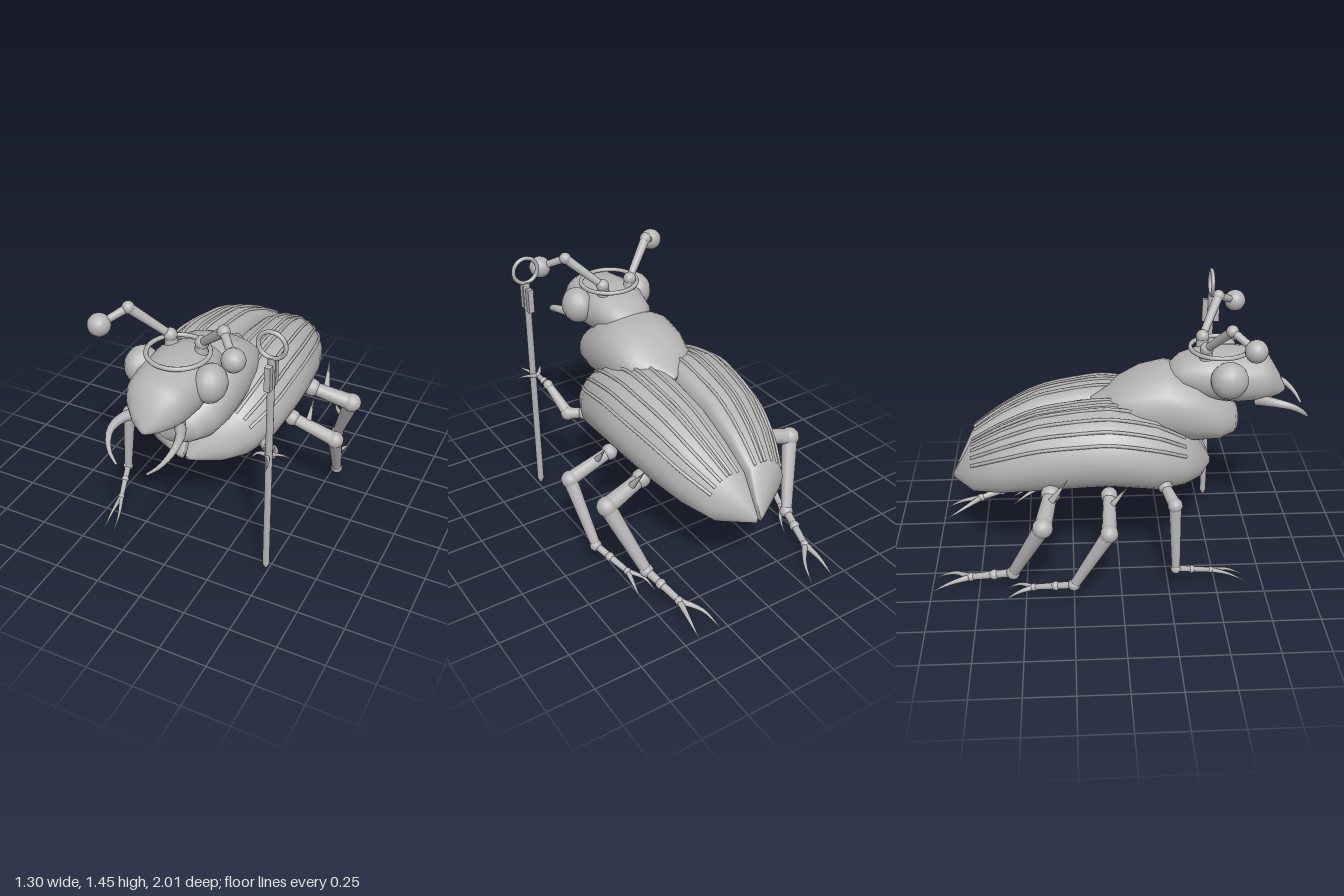
import * as THREE from 'three';

const shell = new THREE.MeshStandardMaterial({ color: 0xb4b4b4 });
shell.name = 'shell grey';
const V = (p) => new THREE.Vector3(...p);

function add(parent, name, geometry, pos = [0, 0, 0]) {
  const m = new THREE.Mesh(geometry, shell);
  m.name = name;
  m.position.set(...pos);
  parent.add(m);
  return m;
}

// Skin over closed loops (counter-clockwise seen from +z) running from back to front
function loft(loops) {
  const n = loops[0].length, pos = [], idx = [];
  loops.forEach((l) => l.forEach((p) => pos.push(...p)));
  for (let i = 0; i < loops.length - 1; i++) {
    for (let j = 0; j < n; j++) {
      const k = (j + 1) % n, a = i * n + j, b = i * n + k;
      idx.push(a, b, b + n, a, b + n, a + n);
    }
  }
  const last = (loops.length - 1) * n;
  for (let j = 1; j < n - 1; j++) {
    idx.push(0, j + 1, j, last, last + j, last + j + 1);
  }
  const g = new THREE.BufferGeometry();
  g.setAttribute('position', new THREE.Float32BufferAttribute(pos, 3));
  g.setIndex(idx);
  g.computeVertexNormals();
  return g;
}

// Rows of [z, half width, bottom, top]
const ovals = (rows, n = 24) => loft(rows.map(([z, w, b, t]) =>
  Array.from({ length: n }, (_, j) => {
    const a = (j / n) * Math.PI * 2;
    const f = (v) => Math.sign(v) * Math.abs(v) ** 0.9;
    return [w * f(Math.cos(a)), (b + t) / 2 + ((t - b) / 2) * f(Math.sin(a)), z];
  })));

function rod(parent, name, a, b, ra, rb = ra, sides = 12) {
  const p = V(a), q = V(b), d = q.clone().sub(p);
  const m = add(parent, name, new THREE.CylinderGeometry(rb, ra, d.length(), sides), p.clone().add(q).multiplyScalar(0.5).toArray());
  m.quaternion.setFromUnitVectors(new THREE.Vector3(0, 1, 0), d.normalize());
  return m;
}

const ball = (parent, name, p, r) => add(parent, name, new THREE.SphereGeometry(r, 14, 10), p);

// Curved tube narrowing from r0 to r1
function taper(parent, name, points, r0, r1, seg = 12, sides = 8) {
  const curve = new THREE.CatmullRomCurve3(points.map(V));
  const g = new THREE.TubeGeometry(curve, seg, 1, sides);
  const pos = g.attributes.position, v = new THREE.Vector3();
  for (let i = 0; i <= seg; i++) {
    const c = curve.getPointAt(i / seg), r = r0 + (r1 - r0) * (i / seg);
    for (let j = 0; j <= sides; j++) {
      const k = i * (sides + 1) + j;
      v.fromBufferAttribute(pos, k).sub(c).multiplyScalar(r).add(c);
      pos.setXYZ(k, v.x, v.y, v.z);
    }
  }
  return add(parent, name, g);
}

// Wing cover cross-section, and its stations [z, width, bottom, top]
const profile = new THREE.CatmullRomCurve3([
  [1, 0.45], [0.93, 0.7], [0.75, 0.9], [0.5, 0.99], [0.25, 1], [0.03, 0.93],
  [0, 0.5], [0.05, 0.08], [0.3, 0], [0.6, 0.03], [0.88, 0.18],
].map(([x, y]) => new THREE.Vector3(x, y, 0)), true);
const stations = [
  [-0.885, 0.01, 0.47, 0.5], [-0.77, 0.22, 0.45, 0.72], [-0.61, 0.3, 0.46, 0.82],
  [-0.42, 0.36, 0.49, 0.905], [-0.2, 0.395, 0.515, 0.945], [-0.05, 0.405, 0.525, 0.955],
  [0.19, 0.38, 0.49, 0.9], [0.34, 0.31, 0.495, 0.8], [0.43, 0.22, 0.515, 0.7], [0.5, 0.03, 0.53, 0.56],
];
function coverPoint([z, w, b, t], s) {
  const p = profile.getPoint(s);
  return [0.007 + w * p.x, b + (t - b) * p.y, z];
}

function wingCover(parent) {
  const n = 33;
  add(parent, 'wingCover', loft(stations.map((s) =>
    Array.from({ length: n }, (_, j) => coverPoint(s, j / n)))));
  for (const t of [0.1, 0.155, 0.215, 0.28, 0.315, 0.38]) {
    const pts = stations.slice(1, 8).map((s) => coverPoint(s, t));
    taper(parent, 'wingRib', pts, 0.009, 0.009, 30, 6);
  }
}

// Jointed leg from hip through knee and ankle to foot, ending in claws
function leg(parent, name, { hip, knee, ankle, foot, claws, spur, r = 0.04 }) {
  const g = new THREE.Group();
  g.name = name;
  parent.add(g);
  ball(g, 'hip', hip, r * 1.1);
  rod(g, 'thigh', hip, knee, r * 0.8, r);
  ball(g, 'knee', knee, r * 1.15);
  rod(g, 'shin', knee, ankle, r * 0.95, r * 0.65);
  ball(g, 'ankle', ankle, r * 0.8);
  rod(g, 'foot', ankle, foot, r * 0.5, r * 0.38);
  const mid = V(ankle).lerp(V(foot), 0.45).toArray();
  ball(g, 'footJoint', mid, r * 0.6);
  ball(g, 'clawJoint', foot, r * 0.5);
  for (const c of claws) {
    const bend = V(foot).lerp(V(c), 0.5).add(new THREE.Vector3((c[0] - foot[0]) * 0.2, 0.012, 0));
    taper(g, 'claw', [foot, bend.toArray(), c], r * 0.4, 0.002, 8, 7);
  }
  if (spur) rod(g, 'spur', V(hip).lerp(V(knee), 0.35).toArray(), spur, r * 0.5, 0.001, 8);
}

export function createModel() {
  const model = new THREE.Group();
  model.name = 'beetle';

  // Thorax shield and head
  add(model, 'thorax', ovals([
    [-0.14, 0.008, 0.9, 0.93], [-0.04, 0.13, 0.86, 0.97], [0.0, 0.19, 0.82, 1.01],
    [0.12, 0.225, 0.75, 1.08], [0.25, 0.24, 0.72, 1.11], [0.4, 0.235, 0.7, 1.07],
    [0.53, 0.2, 0.705, 0.97], [0.61, 0.14, 0.73, 0.9], [0.635, 0.07, 0.74, 0.86],
  ]));
  add(model, 'head', ovals([
    [0.27, 0.08, 1.03, 1.1], [0.33, 0.14, 0.99, 1.15], [0.46, 0.175, 0.93, 1.195],
    [0.62, 0.18, 0.91, 1.19], [0.74, 0.165, 0.915, 1.175], [0.79, 0.14, 0.92, 1.15],
    [0.85, 0.08, 0.935, 1.05], [0.885, 0.012, 0.945, 0.97],
  ]));
  const crown = add(model, 'headRing', new THREE.TorusGeometry(0.153, 0.012, 8, 40), [0, 1.197, 0.53]);
  crown.rotation.x = Math.PI / 2;

  // Mirrored parts
  for (const side of [1, -1]) {
    const half = new THREE.Group();
    half.name = side > 0 ? 'leftSide' : 'rightSide';
    half.scale.x = side;
    model.add(half);
    wingCover(half);
    const eye = ball(half, 'eye', [0.185, 1.09, 0.56], 0.098);
    eye.scale.x = 0.85;
    taper(half, 'mandible', [[0.1, 0.94, 0.72], [0.155, 0.945, 0.81], [0.17, 0.925, 0.9], [0.135, 0.87, 0.97], [0.08, 0.825, 1]], 0.032, 0.006);

    // Feeler with a round club
    const base = [0.085, 1.225, 0.45], elbow = [0.25, 1.385, 0.55], club = [0.35, 1.32, 0.655];
    rod(half, 'feelerSocket', [0.08, 1.17, 0.45], base, 0.035, 0.028);
    ball(half, 'feelerBase', base, 0.035);
    rod(half, 'feelerLower', base, elbow, 0.02, 0.026);
    ball(half, 'feelerElbow', elbow, 0.032);
    rod(half, 'feelerUpper', elbow, club, 0.022, 0.018);
    ball(half, 'feelerClub', club, 0.058);

    leg(half, 'middleLeg', {
      hip: [0.36, 0.54, -0.06], knee: [0.605, 0.465, -0.07], ankle: [0.565, 0.135, -0.25], foot: [0.5, 0.08, -0.46],
      claws: [[0.515, 0.015, -0.61], [0.42, 0.02, -0.6]], spur: side > 0 ? [0.44, 0.64, -0.16] : [0.45, 0.64, 0.03],
    });
    leg(half, 'rearLeg', {
      hip: [0.35, 0.55, -0.36], knee: [0.575, 0.49, -0.4], ankle: [0.45, 0.14, -0.565], foot: [0.4, 0.085, -0.79],
      claws: [[0.29, 0.01, -0.99], [0.42, 0.01, -1]], spur: side > 0 ? [0.4, 0.68, -0.48] : [0.435, 0.68, -0.27], r: 0.046,
    });
  }

  // Right front leg stands, left one is raised to the staff
  leg(model, 'rightFrontLeg', {
    hip: [-0.34, 0.57, 0.23], knee: [-0.46, 0.53, 0.27], ankle: [-0.485, 0.16, 0.28], foot: [-0.42, 0.1, 0.47],
    claws: [[-0.36, 0.02, 0.66], [-0.42, 0.02, 0.66]], r: 0.034,
  });
  leg(model, 'leftFrontLeg', {
    hip: [0.33, 0.6, 0.26], knee: [0.4, 0.59, 0.32], ankle: [0.445, 0.72, 0.45], foot: [0.465, 0.745, 0.53],
    claws: [[0.59, 0.76, 0.53], [0.52, 0.755, 0.65], [0.42, 0.76, 0.6]], r: 0.034,
  });

  // Staff with collar and ring
  const staff = new THREE.Group();
  staff.name = 'staff';
  staff.position.set(0.487, 0, 0.545);
  model.add(staff);
  rod(staff, 'staffTip', [0, 0.025, 0], [0, 0.05, 0], 0.008, 0.018);
  rod(staff, 'shaft', [0, 0.05, 0], [0, 1.31, 0], 0.018);
  for (const s of [1, -1]) add(staff, 'collarPlate', new THREE.BoxGeometry(0.03, 0.13, 0.03), [0, 1.215, s * 0.033]);
  add(staff, 'staffRing', new THREE.TorusGeometry(0.068, 0.011, 8, 32), [0, 1.375, 0]);

  return model;
}
